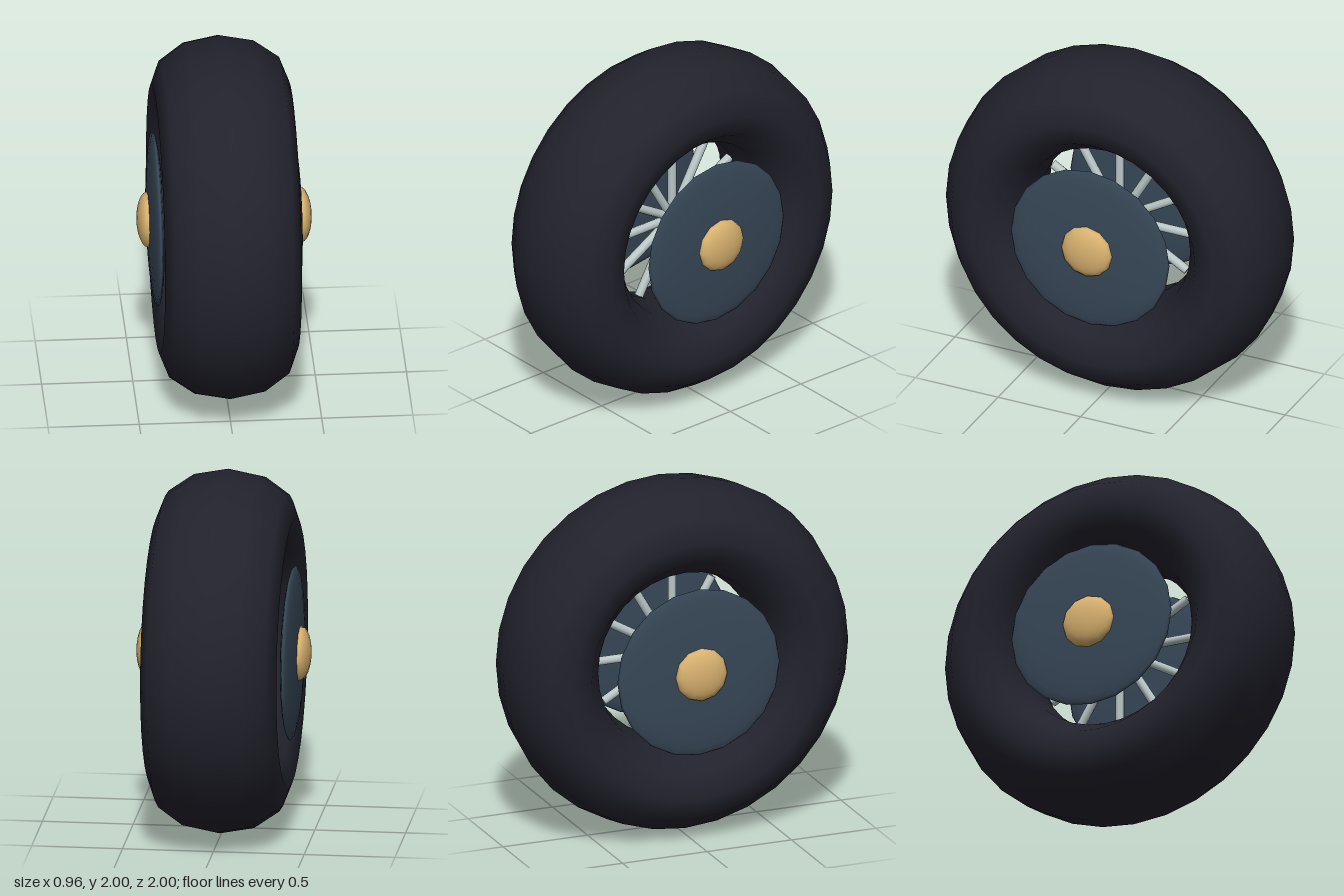
import * as THREE from 'three';

const mat = (name, color) => {
  const m = new THREE.MeshStandardMaterial({ color });
  m.name = name;
  return m;
};

export function createModel() {
  const rubber = mat('dark rubber', 0x22222d);
  const slate = mat('slate blue', 0x374757);
  const brass = mat('brass', 0xd9b26f);
  const steel = mat('pale steel', 0xbccaca);

  const wheel = new THREE.Group();
  wheel.name = 'wheel';
  const add = (name, geometry, material, parent = wheel) => {
    const mesh = new THREE.Mesh(geometry, material);
    mesh.name = name;
    parent.add(mesh);
    return mesh;
  };

  // Tyre: a torus around the x axis, stretched sideways
  const tyre = new THREE.TorusGeometry(0.74, 0.26, 12, 32);
  tyre.scale(1, 1, 0.375 / 0.26).rotateY(Math.PI / 2);
  add('tyre', tyre, rubber);

  // Flattened spheroid with its short axis along x
  const dome = (radius, halfDepth, sides, rings) =>
    new THREE.SphereGeometry(1, sides, rings)
      .rotateZ(Math.PI / 2)
      .scale(halfDepth, radius, radius);

  // Domed disc and hub cap on each side
  for (const [label, side] of [['left', 1], ['right', -1]]) {
    add(label + 'Disc', dome(0.48, 0.042, 20, 14), slate).position.x = side * 0.378;
    add(label + 'HubCap', dome(0.152, 0.06, 12, 12), brass).position.x = side * 0.42;
  }

  // Twelve spokes meeting at the centre
  const spokes = new THREE.Group();
  spokes.name = 'spokes';
  const rod = new THREE.CylinderGeometry(0.025, 0.025, 0.47, 8).translate(0, 0.235, 0);
  for (let i = 0; i < 12; i++) {
    add('spoke', rod, steel, spokes).rotation.x = (i * Math.PI) / 6;
  }
  wheel.add(spokes);

  // Stand the wheel on the ground
  wheel.position.y = 1;
  const model = new THREE.Group();
  model.name = 'wheelModel';
  model.add(wheel);
  return model;
}
